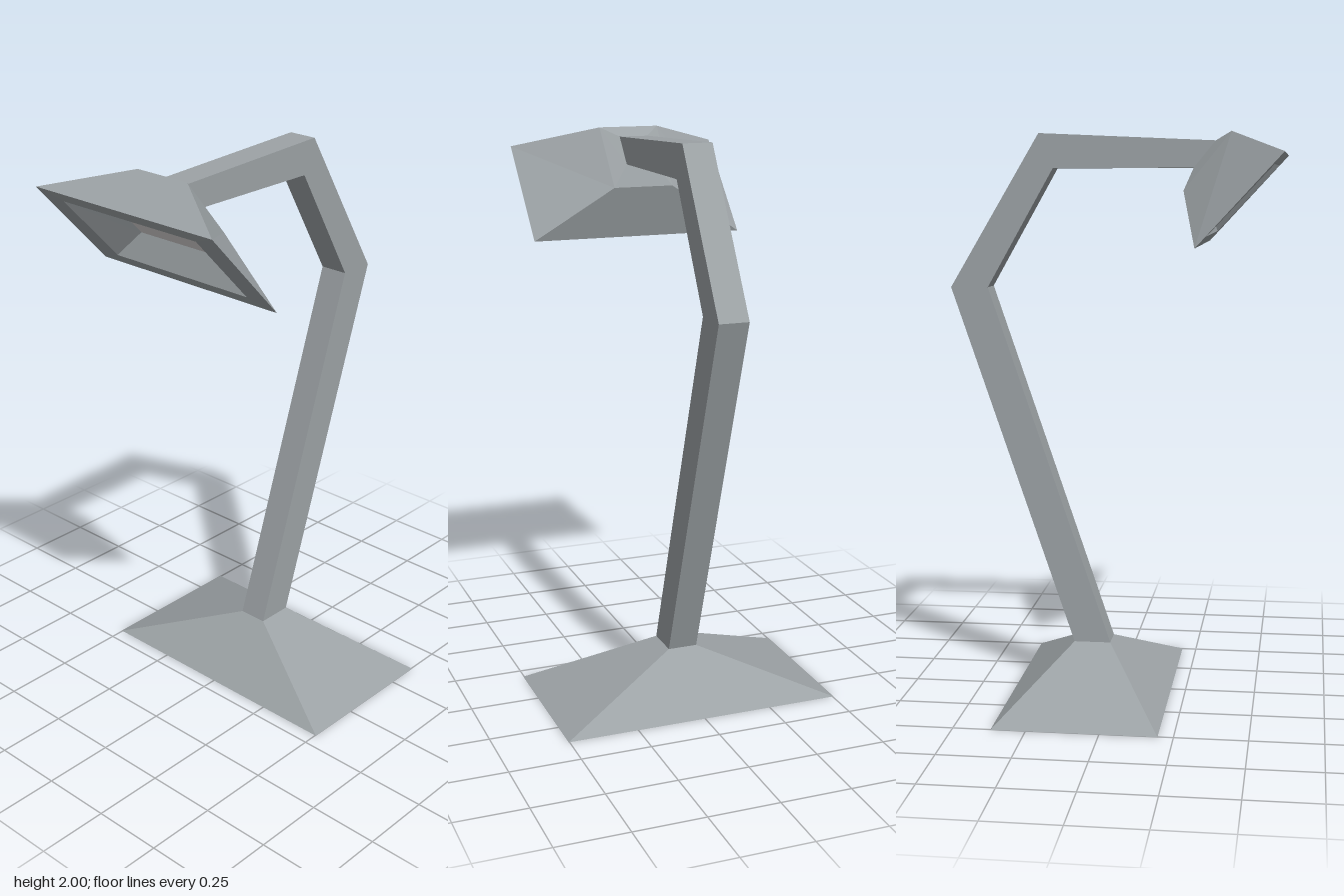
import * as THREE from 'three';

// A ring is a four-cornered section: half width, then [z, y] of its front/lower and back/upper edges.
const corners = ([hx, [zf, yf], [zb, yb]]) => [
  [-hx, yf, zf], [hx, yf, zf], [hx, yb, zb], [-hx, yb, zb],
];

function meshFromQuads(name, quads, material) {
  const pos = quads.flatMap(([a, b, c, d]) => [a, b, c, a, c, d].flat());
  const geo = new THREE.BufferGeometry();
  geo.setAttribute('position', new THREE.Float32BufferAttribute(pos, 3));
  geo.computeVertexNormals();
  const mesh = new THREE.Mesh(geo, material);
  mesh.name = name;
  return mesh;
}

// Open four-sided skin through successive rings
function loft(name, rings, material) {
  const quads = [];
  for (let i = 0; i < rings.length - 1; i++) {
    const lo = corners(rings[i]), hi = corners(rings[i + 1]);
    for (let k = 0; k < 4; k++) {
      const n = (k + 1) % 4;
      quads.push([lo[k], lo[n], hi[n], hi[k]]);
    }
  }
  return meshFromQuads(name, quads, material);
}

export function createModel() {
  const metal = new THREE.MeshStandardMaterial({ color: 0x9ca2a5, side: THREE.DoubleSide });
  metal.name = 'greyMetal';
  const light = new THREE.MeshStandardMaterial({ color: 0xd6d2d2, side: THREE.DoubleSide });
  light.name = 'paleLight';

  const hw = 0.053;
  const neck = [hw, [-0.02, 0.183], [-0.15, 0.183]];
  const armEnd = [hw, [0.27, 1.878], [0.345, 1.97]];
  const lampBack = [0.205, [0.305, 1.745], [0.461, 1.911]];

  const model = new THREE.Group();
  model.name = 'deskLamp';

  // Hollow pyramid foot
  model.add(loft('base', [[0.503, [0.197, 0], [-0.37, 0]], neck], metal));

  // Bent square arm
  model.add(loft('arm', [
    neck,
    [hw, [-0.455, 1.462], [-0.587, 1.462]],
    [hw, [-0.22, 1.877], [-0.27, 1.997]],
    armEnd,
  ], metal));

  // Shade: collar, flared shell, rim frame and inner recess
  model.add(loft('shade', [
    armEnd,
    [0.11, [0.24, 1.80], [0.402, 2.0]],
    [0.392, [0.30, 1.615], [0.587, 1.926]],
    [0.295, [0.333, 1.652], [0.556, 1.89]],
    lampBack,
  ], metal));

  // Light panel at the bottom of the recess
  model.add(meshFromQuads('lightPanel', [corners(lampBack)], light));

  return model;
}
